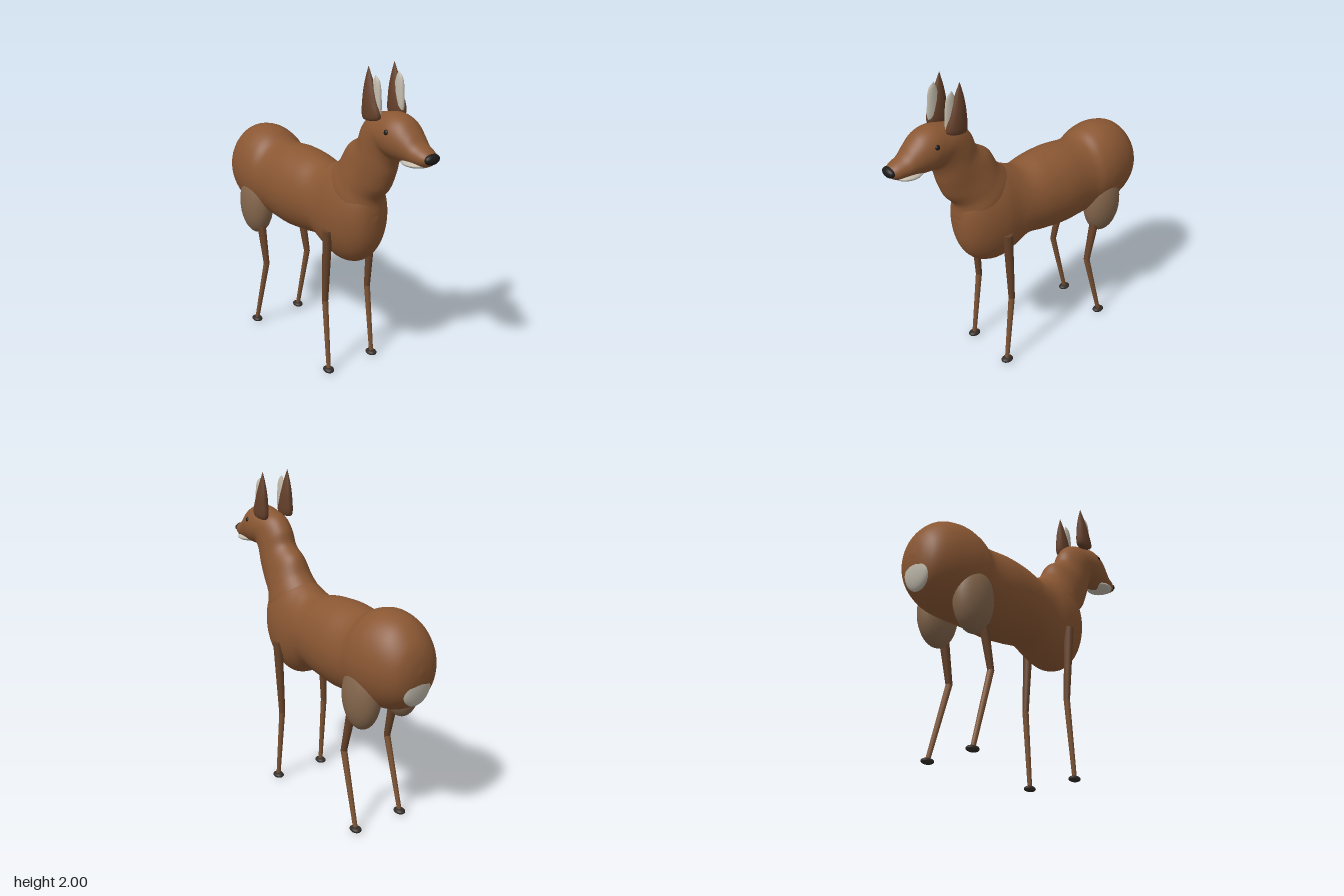
import * as THREE from 'three';
import { mergeVertices } from 'three/addons/utils/BufferGeometryUtils.js';

const paint = (color) => new THREE.MeshStandardMaterial({ color });
const coat = paint(0x8a5733), legBrown = paint(0x664229), shin = paint(0x7d5435);
const earBrown = paint(0x65402a), pale = paint(0xc2bbad), underside = paint(0x84664c);
const dark = paint(0x1d1b1a), hoofDark = paint(0x332c28);

// Each section is [upperX, upperY, lowerX, lowerY, halfWidth]; sections become smoothed ellipses.
function loft(sections, rings, sides) {
  const upper = new THREE.CatmullRomCurve3(sections.map((s) => new THREE.Vector3(s[0], s[1], s[4])));
  const lower = new THREE.CatmullRomCurve3(sections.map((s) => new THREE.Vector3(s[2], s[3], s[4])));
  const pos = [], index = [];
  for (let i = 0; i <= rings; i++) {
    const u = upper.getPoint(i / rings), l = lower.getPoint(i / rings);
    for (let j = 0; j < sides; j++) {
      const a = (j / sides) * Math.PI * 2, k = (1 + Math.cos(a)) / 2;
      pos.push(l.x + (u.x - l.x) * k, l.y + (u.y - l.y) * k, Math.sin(a) * Math.max(u.z, 0));
      if (i === rings) continue;
      const p = i * sides + j, q = i * sides + ((j + 1) % sides);
      index.push(p, q, p + sides, q, q + sides, p + sides);
    }
  }
  let geo = new THREE.BufferGeometry();
  geo.setAttribute('position', new THREE.Float32BufferAttribute(pos, 3));
  geo.setIndex(index);
  geo = mergeVertices(geo, 1e-4);
  geo.computeVertexNormals();
  return geo;
}

export function createModel() {
  const model = new THREE.Group();
  model.name = 'deer';

  const add = (name, geo, mat, x = 0, y = 0, z = 0) => {
    const mesh = new THREE.Mesh(geo, mat);
    mesh.name = name;
    mesh.position.set(x, y, z);
    model.add(mesh);
    return mesh;
  };
  const ellipsoid = (name, mat, c, r) => {
    const mesh = add(name, new THREE.SphereGeometry(1, 32, 20), mat, ...c);
    mesh.scale.set(...r);
    return mesh;
  };
  const limb = (name, mat, a, b, ra, rb) => {
    const from = new THREE.Vector3(...a), to = new THREE.Vector3(...b);
    const dir = to.clone().sub(from), mid = from.add(to).multiplyScalar(0.5);
    const mesh = add(name, new THREE.CylinderGeometry(rb, ra, dir.length(), 10), mat, mid.x, mid.y, mid.z);
    mesh.quaternion.setFromUnitVectors(new THREE.Vector3(0, 1, 0), dir.normalize());
  };

  // Rump, barrel and chest in one skin
  add('torso', loft([
    [-0.925, 1.1, -0.925, 1.1, 0],
    [-0.91, 1.2, -0.91, 0.99, 0.09],
    [-0.87, 1.28, -0.87, 0.9, 0.155],
    [-0.78, 1.36, -0.78, 0.835, 0.205],
    [-0.65, 1.39, -0.65, 0.805, 0.232],
    [-0.55, 1.37, -0.55, 0.805, 0.23],
    [-0.47, 1.33, -0.47, 0.81, 0.216],
    [-0.28, 1.34, -0.28, 0.8, 0.222],
    [-0.12, 1.33, -0.12, 0.815, 0.21],
    [0.01, 1.308, 0.01, 0.828, 0.19],
    [0.1, 1.34, 0.1, 0.775, 0.182],
    [0.21, 1.38, 0.21, 0.74, 0.185],
    [0.32, 1.37, 0.32, 0.765, 0.168],
    [0.4, 1.32, 0.4, 0.83, 0.135],
    [0.45, 1.24, 0.45, 0.93, 0.085],
    [0.472, 1.09, 0.472, 1.09, 0],
  ], 90, 48), coat);

  // Neck, skull and muzzle, sections turning from sloped to upright
  add('neckAndHead', loft([
    [0.25, 1.15, 0.25, 1.15, 0],
    [0.1, 1.31, 0.46, 1.08, 0.15],
    [0.18, 1.4, 0.475, 1.2, 0.135],
    [0.235, 1.495, 0.54, 1.28, 0.118],
    [0.325, 1.56, 0.58, 1.375, 0.11],
    [0.36, 1.64, 0.605, 1.46, 0.107],
    [0.43, 1.715, 0.63, 1.5, 0.108],
    [0.53, 1.745, 0.65, 1.5, 0.115],
    [0.62, 1.76, 0.675, 1.5, 0.116],
    [0.7, 1.74, 0.71, 1.5, 0.105],
    [0.765, 1.685, 0.76, 1.502, 0.087],
    [0.81, 1.637, 0.81, 1.505, 0.073],
    [0.87, 1.607, 0.865, 1.515, 0.058],
    [0.9, 1.585, 0.895, 1.535, 0.035],
    [0.905, 1.56, 0.905, 1.56, 0],
  ], 90, 40), coat);

  // Face
  ellipsoid('chin', pale, [0.78, 1.523, 0], [0.09, 0.024, 0.086]);
  ellipsoid('nose', dark, [0.893, 1.566, 0], [0.027, 0.03, 0.05]);

  // Rump patch
  const tail = ellipsoid('rumpPatch', pale, [-0.882, 1.0, 0], [0.034, 0.115, 0.1]);
  tail.rotation.z = 0.1;

  const earShell = loft([
    [0.51, 1.7, 0.51, 1.7, 0],
    [0.443, 1.708, 0.575, 1.728, 0.031],
    [0.44, 1.82, 0.55, 1.82, 0.033],
    [0.452, 1.91, 0.515, 1.91, 0.02],
    [0.475, 2.0, 0.475, 2.0, 0],
  ], 24, 12);
  const earLining = loft([
    [0.53, 1.72, 0.53, 1.72, 0],
    [0.49, 1.74, 0.57, 1.74, 0.014],
    [0.49, 1.85, 0.572, 1.85, 0.016],
    [0.505, 1.92, 0.557, 1.925, 0.01],
    [0.522, 1.957, 0.522, 1.957, 0],
  ], 20, 10);

  for (const s of [1, -1]) {
    const side = s > 0 ? 'Front' : 'Back';
    ellipsoid('eye' + side, dark, [0.645, 1.67, s * 0.102], [0.017, 0.017, 0.014]);
    add('ear' + side, earShell, earBrown, 0, 0, s * 0.092);
    add('earLining' + side, earLining, pale, 0, 0, s * 0.082);

    // Haunch
    ellipsoid('haunch' + side, underside, [-0.59, 0.89, s * 0.148], [0.135, 0.21, 0.097]);

    // Foreleg
    limb('upperForeleg' + side, legBrown, [0.22, 0.975, s * 0.172], [0.19, 0.49, s * 0.168], 0.031, 0.02);
    limb('lowerForeleg' + side, shin, [0.19, 0.495, s * 0.168], [0.237, 0.02, s * 0.175], 0.02, 0.014);
    ellipsoid('foreHoof' + side, hoofDark, [0.236, 0.018, s * 0.175], [0.041, 0.018, 0.032]);

    // Hind leg
    limb('upperHindLeg' + side, legBrown, [-0.545, 0.88, s * 0.16], [-0.46, 0.49, s * 0.168], 0.034, 0.02);
    limb('lowerHindLeg' + side, shin, [-0.46, 0.495, s * 0.168], [-0.59, 0.02, s * 0.175], 0.02, 0.014);
    ellipsoid('hindHoof' + side, hoofDark, [-0.59, 0.018, s * 0.175], [0.041, 0.018, 0.032]);
  }
  return model;
}
